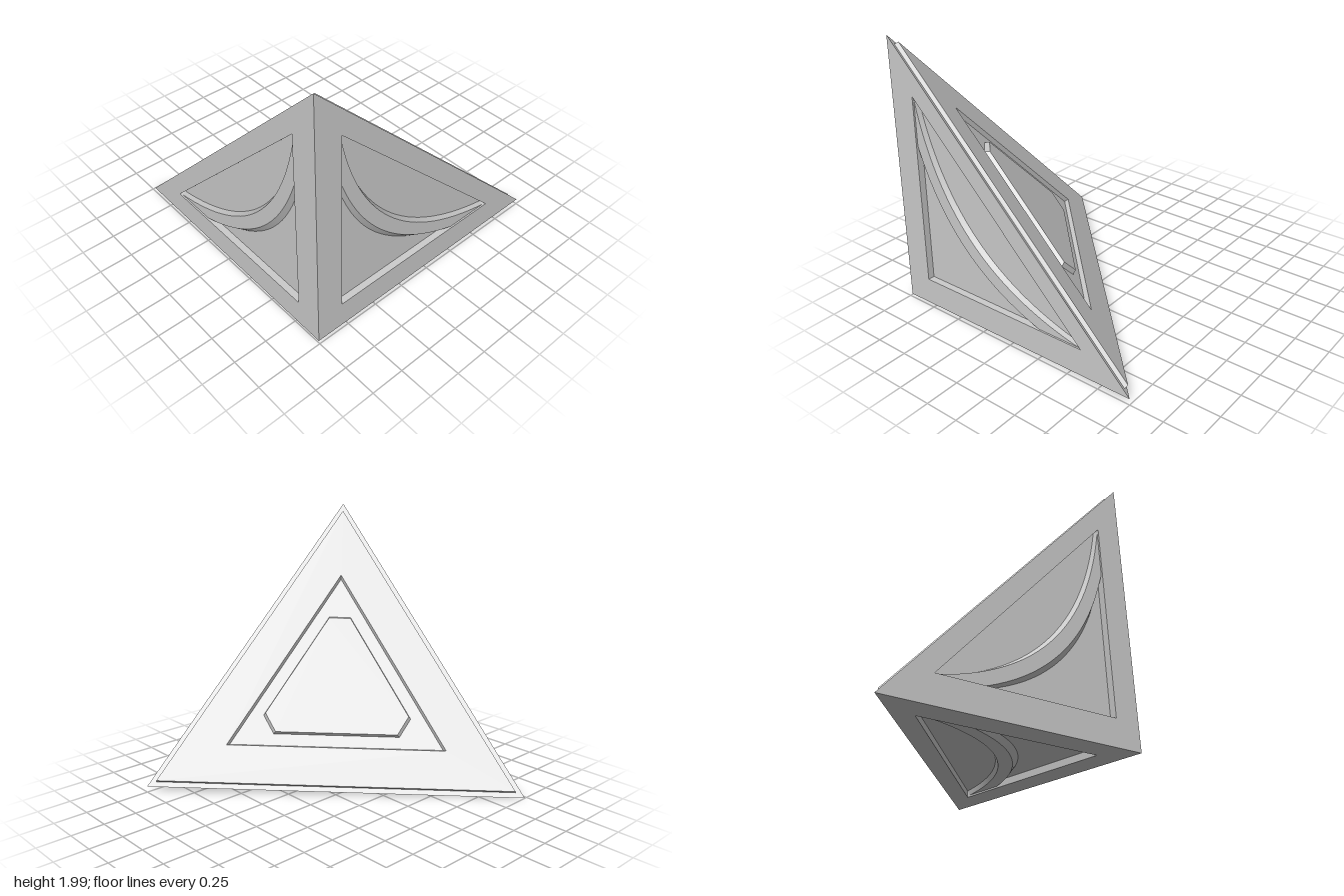
import * as THREE from 'three';
import { toCreasedNormals } from 'three/addons/utils/BufferGeometryUtils.js';

const V3 = (x, y, z) => new THREE.Vector3(x, y, z);

// Four corners of the right-angled tetrahedron
const corner = V3(0.985, 0.01, 0.995);
const tipLeft = V3(-1, 0, 0.98);
const tipTop = V3(0.975, 1.99, 1);
const tipBack = V3(1, 0.045, -1);

// Maps (u, v, height) on the triangle o-a-b to space; counter-clockwise seen from outside
function facePlane(o, a, b) {
  const U = a.clone().sub(o), V = b.clone().sub(o);
  const N = U.clone().cross(V).normalize();
  return (u, v, h) => o.clone().addScaledVector(U, u).addScaledVector(V, v).addScaledVector(N, h);
}

// Skins successive loops { pts, h } lying over one face and caps the last one
function stack(plane, loops, material, name) {
  const pos = [];
  const put = (p, h) => pos.push(...plane(p[0], p[1], h).toArray());
  for (let k = 0; k + 1 < loops.length; k++) {
    const A = loops[k], B = loops[k + 1], n = A.pts.length;
    for (let i = 0; i < n; i++) {
      const j = (i + 1) % n;
      put(A.pts[i], A.h); put(A.pts[j], A.h); put(B.pts[j], B.h);
      put(A.pts[i], A.h); put(B.pts[j], B.h); put(B.pts[i], B.h);
    }
  }
  const top = loops[loops.length - 1];
  const contour = top.pts.map(p => new THREE.Vector2(p[0], p[1]));
  for (const tri of THREE.ShapeUtils.triangulateShape(contour, []))
    for (const i of tri) put(top.pts[i], top.h);
  const geo = new THREE.BufferGeometry();
  geo.setAttribute('position', new THREE.Float32BufferAttribute(pos, 3));
  const mesh = new THREE.Mesh(toCreasedNormals(geo, 0.4), material);
  mesh.name = name;
  return mesh;
}

// Triangle inset evenly from all sides
const inset = b => [[b, b], [1 - 2 * b, b], [b, 1 - 2 * b]];

// Inset triangle with its three corners cut off by t
function cutInset(b, t) {
  const e = 1 - 2 * b - t;
  return [[b + t, b], [e, b], [e, b + t], [b + t, e], [b, e], [b, b + t]];
}

// Bowed line from one leg of the face to the other
function bow(end, control) {
  const p = (x, y) => new THREE.Vector2(x, y);
  return new THREE.QuadraticBezierCurve(p(0.1, end), p(control, control), p(end, 0.1))
    .getPoints(28).map(q => [q.x, q.y]);
}

// Closed outline of the curved band, between a lower and an upper bow
const band = (lowEnd, lowCtrl, highEnd, highCtrl) =>
  [...bow(lowEnd, lowCtrl), ...bow(highEnd, highCtrl).reverse()];

export function createModel() {
  const model = new THREE.Group();
  model.name = 'cornerPyramid';
  const grey = new THREE.MeshStandardMaterial({ color: 0xcccccc });

  // Three square-cornered faces: framed recess with a raised curved band
  const sides = [
    ['frontFace', tipTop, tipLeft],
    ['sideFace', tipBack, tipTop],
    ['bottomFace', tipLeft, tipBack],
  ];
  const floor = -0.05;
  const recess = [[0.1, 0.1], [0.805, 0.1], [0.1, 0.805]];
  for (const [name, a, b] of sides) {
    const plane = facePlane(corner, a, b);
    const face = new THREE.Group();
    face.name = name;
    face.add(stack(plane, [
      { pts: inset(0), h: 0 },
      { pts: recess, h: 0 },
      { pts: recess, h: floor },
    ], grey, 'recessedFrame'));
    face.add(stack(plane, [
      { pts: band(0.61, 0.21, 0.8, 0.225), h: floor },
      { pts: band(0.625, 0.23, 0.795, 0.215), h: -0.012 },
    ], grey, 'curvedBand'));
    model.add(face);
  }

  // Large sloping face: raised plate, triangular recess, six-sided panel
  const slope = facePlane(tipLeft, tipTop, tipBack);
  const slopingFace = new THREE.Group();
  slopingFace.name = 'slopingFace';
  slopingFace.add(stack(slope, [
    { pts: inset(0), h: 0 },
    { pts: inset(0.016), h: 0 },
    { pts: inset(0.017), h: 0.03 },
    { pts: inset(0.137), h: 0.03 },
    { pts: inset(0.142), h: 0 },
  ], grey, 'raisedPlate'));
  slopingFace.add(stack(slope, [
    { pts: cutInset(0.18, 0.06), h: 0 },
    { pts: cutInset(0.184, 0.06), h: 0.03 },
  ], grey, 'centrePanel'));
  model.add(slopingFace);

  return model;
}
